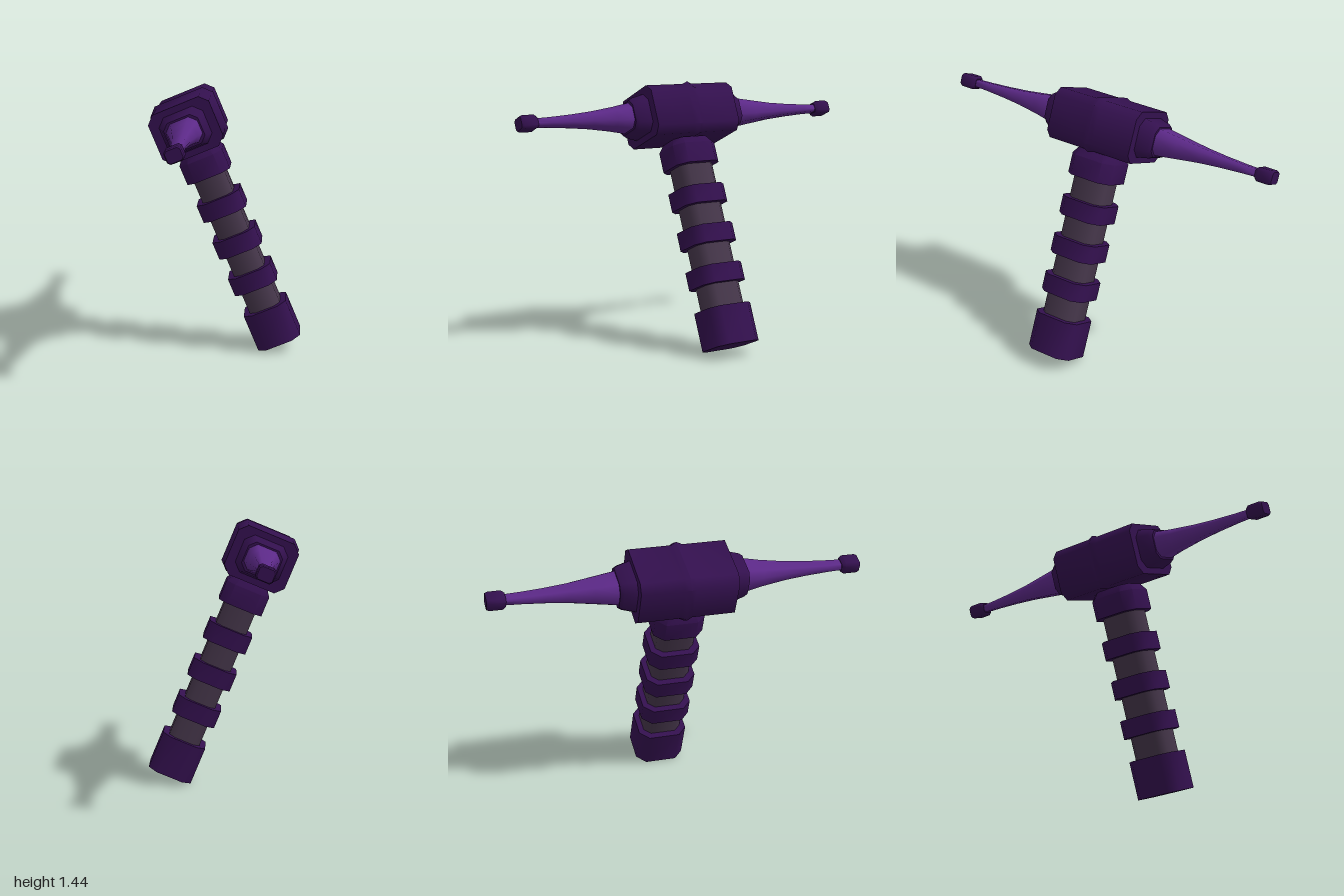
import * as THREE from 'three';
import { toCreasedNormals } from 'three/addons/utils/BufferGeometryUtils.js';

const DARK = new THREE.MeshStandardMaterial({ color: 0x33104e });
DARK.name = 'dark purple';
const LIGHT = new THREE.MeshStandardMaterial({ color: 0x5c2988 });
LIGHT.name = 'light purple';
const GRIP = new THREE.MeshStandardMaterial({ color: 0x45364a });
GRIP.name = 'grey purple';

const TILT = 0.394;
const MID_Z = 0.015;

// Eight corners of a chamfered rectangle, counter-clockwise
function section(hx, hy, chamfer) {
  const c = chamfer * Math.min(hx, hy);
  const a = hx - c, b = hy - c;
  return [[hx, -b], [hx, b], [a, hy], [-a, hy], [-hx, b], [-hx, -b], [-a, -hy], [a, -hy]];
}

// Capped loft along +z through rows of [z, halfWidth, halfHeight]
function loft(rows, chamfer) {
  const positions = [], index = [], n = 8;
  for (const [z, hx, hy] of rows) {
    for (const [x, y] of section(hx, hy, chamfer)) positions.push(x, y, z);
  }
  for (let i = 0; i < rows.length - 1; i++) {
    for (let j = 0; j < n; j++) {
      const a = i * n + j, b = i * n + (j + 1) % n;
      index.push(a, b, b + n, a, b + n, a + n);
    }
  }
  const end = (rows.length - 1) * n;
  for (let j = 1; j < n - 1; j++) {
    index.push(0, j + 1, j, end, end + j, end + j + 1);
  }
  const geo = new THREE.BufferGeometry();
  geo.setAttribute('position', new THREE.Float32BufferAttribute(positions, 3));
  geo.setIndex(index);
  return toCreasedNormals(geo, 0.9);
}

function part(name, geometry, material, parent) {
  const mesh = new THREE.Mesh(geometry, material);
  mesh.name = name;
  parent.add(mesh);
  return mesh;
}

export function createModel() {
  const model = new THREE.Group();
  model.name = 'hammer';

  // Handle, built upward from the centre of the pommel base
  const handle = new THREE.Group();
  handle.name = 'handle';
  handle.position.set(0.293, 0.05, MID_Z);
  handle.rotation.z = TILT;
  model.add(handle);
  const upright = (name, rows, material) =>
    part(name, loft(rows, 0.4).rotateX(-Math.PI / 2), material, handle);

  upright('grip', [[0.1, 0.088, 0.105], [1.1, 0.088, 0.105]], GRIP);
  upright('pommel', [[0, 0.123, 0.135], [0.21, 0.123, 0.135]], DARK);
  for (const s of [0.335, 0.555, 0.775]) {
    upright('gripRing', [[s, 0.123, 0.135], [s + 0.1, 0.123, 0.135]], DARK);
  }
  upright('neckCollar', [[1.0, 0.123, 0.135], [1.11, 0.123, 0.135], [1.15, 0.095, 0.11]], DARK);

  // Head block with a thin raised ridge round its middle
  const head = new THREE.Group();
  head.name = 'head';
  head.position.set(-0.2, 1.25, 0);
  head.rotation.z = TILT;
  model.add(head);
  const block = part('headBlock', loft([
    [-0.26, 0.171, 0.139], [-0.03, 0.171, 0.139], [0, 0.183, 0.15],
    [0.03, 0.171, 0.139], [0.26, 0.171, 0.139],
  ], 0.3), DARK, head);
  block.position.z = MID_Z;

  // Matching collar, concave spike and tip on both ends
  for (const side of [1, -1]) {
    const arm = new THREE.Group();
    arm.name = side > 0 ? 'frontArm' : 'backArm';
    arm.rotation.y = side > 0 ? 0 : Math.PI;
    head.add(arm);
    const shift = side * MID_Z;
    part('spikeCollar', loft([
      [0.24 + shift, 0.125, 0.107], [0.26 + shift, 0.123, 0.105],
      [0.325 + shift, 0.105, 0.092], [0.345 + shift, 0.095, 0.08],
    ], 0.4), DARK, arm);
    part('spike', loft([
      [0.33 + shift, 0.09, 0.073], [0.45, 0.07, 0.056], [0.58, 0.051, 0.04],
      [0.7, 0.04, 0.03], [0.82, 0.033, 0.023], [0.93, 0.029, 0.019],
    ], 0.5), LIGHT, arm);
    part('spikeTip', loft([
      [0.9, 0.032, 0.026], [0.918, 0.045, 0.037], [0.985, 0.045, 0.037], [1, 0.039, 0.032],
    ], 0.35), DARK, arm);
  }
  return model;
}
